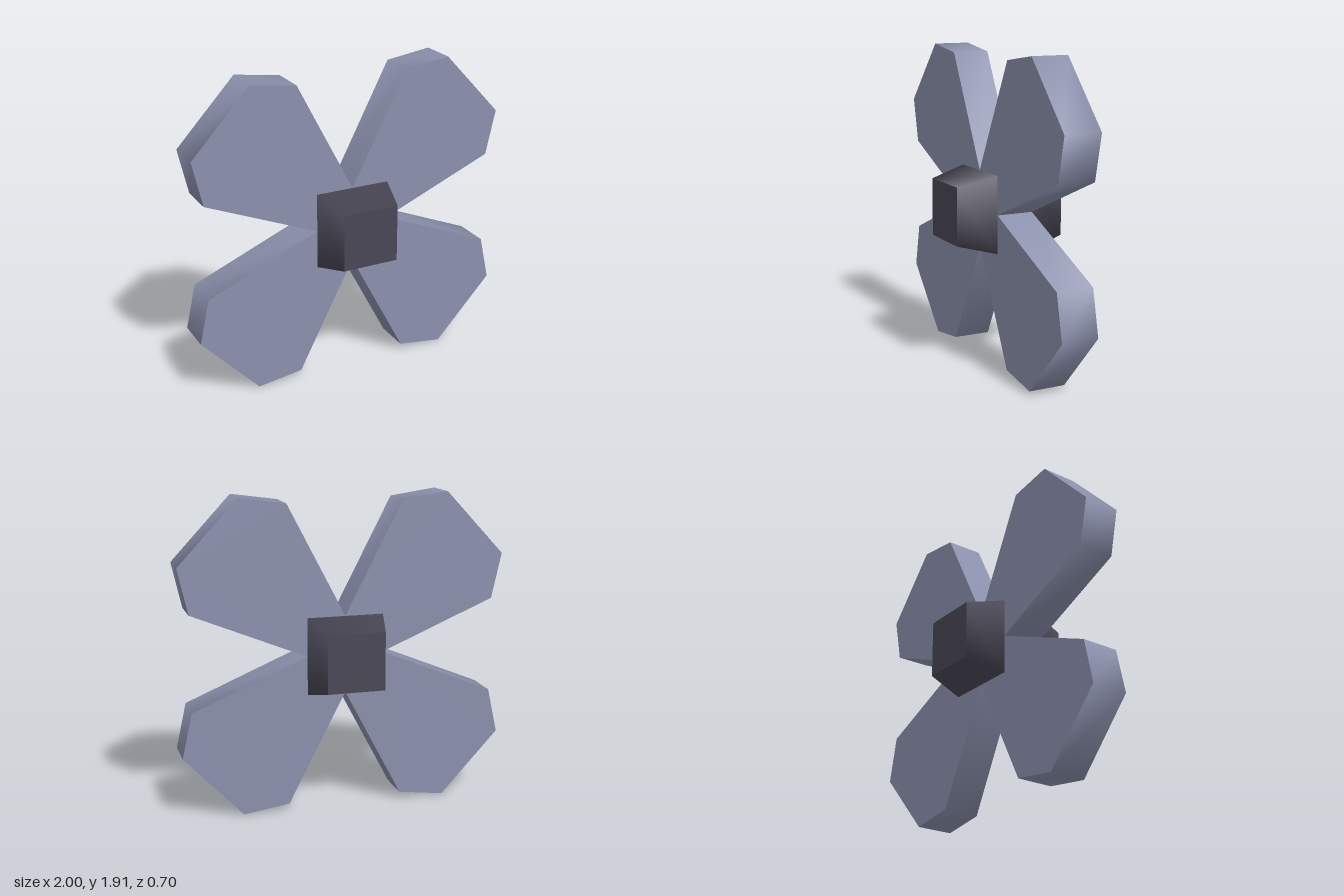
import * as THREE from 'three';
import { toCreasedNormals } from 'three/addons/utils/BufferGeometryUtils.js';

export function createModel() {
  const model = new THREE.Group();
  model.name = 'fourBladeRotor';

  const bladeMat = new THREE.MeshStandardMaterial({ color: 0x8a8fab });
  bladeMat.name = 'blade blue grey';
  const hubMat = new THREE.MeshStandardMaterial({ color: 0x484654 });
  hubMat.name = 'hub dark grey';

  const centreY = 0.957;
  const halfThick = 0.115;

  // Blades: one outline mirrored into four quadrants
  const outline = [[0, 0.235], [0.355, 0.917], [0.638, 0.957], [1, 0.57], [0.938, 0.293], [0.235, 0]];
  for (const sx of [1, -1]) {
    for (const sy of [1, -1]) {
      const shape = new THREE.Shape(outline.map(([x, y]) => new THREE.Vector2(x * sx, y * sy)));
      const solid = new THREE.ExtrudeGeometry(shape, { depth: halfThick * 2, bevelEnabled: false });
      solid.translate(0, 0, -halfThick);
      // rounded shading along the rim, sharp front and back edges
      const blade = new THREE.Mesh(toCreasedNormals(solid, 1.1), bladeMat);
      blade.name = (sy > 0 ? 'upper' : 'lower') + (sx > 0 ? 'Left' : 'Right') + 'Blade';
      blade.position.y = centreY;
      model.add(blade);
    }
  }

  // Hub caps: square frustums tapering away from the blades
  const capDepth = 0.235;
  for (const side of [1, -1]) {
    const cap = new THREE.CylinderGeometry(0.176 * Math.SQRT2, 0.235 * Math.SQRT2, capDepth, 4);
    cap.rotateY(Math.PI / 4);
    cap.rotateX(side * Math.PI / 2);
    const hub = new THREE.Mesh(cap, hubMat);
    hub.name = side > 0 ? 'frontHub' : 'backHub';
    hub.position.set(0, centreY, side * (halfThick + capDepth / 2));
    model.add(hub);
  }

  return model;
}
